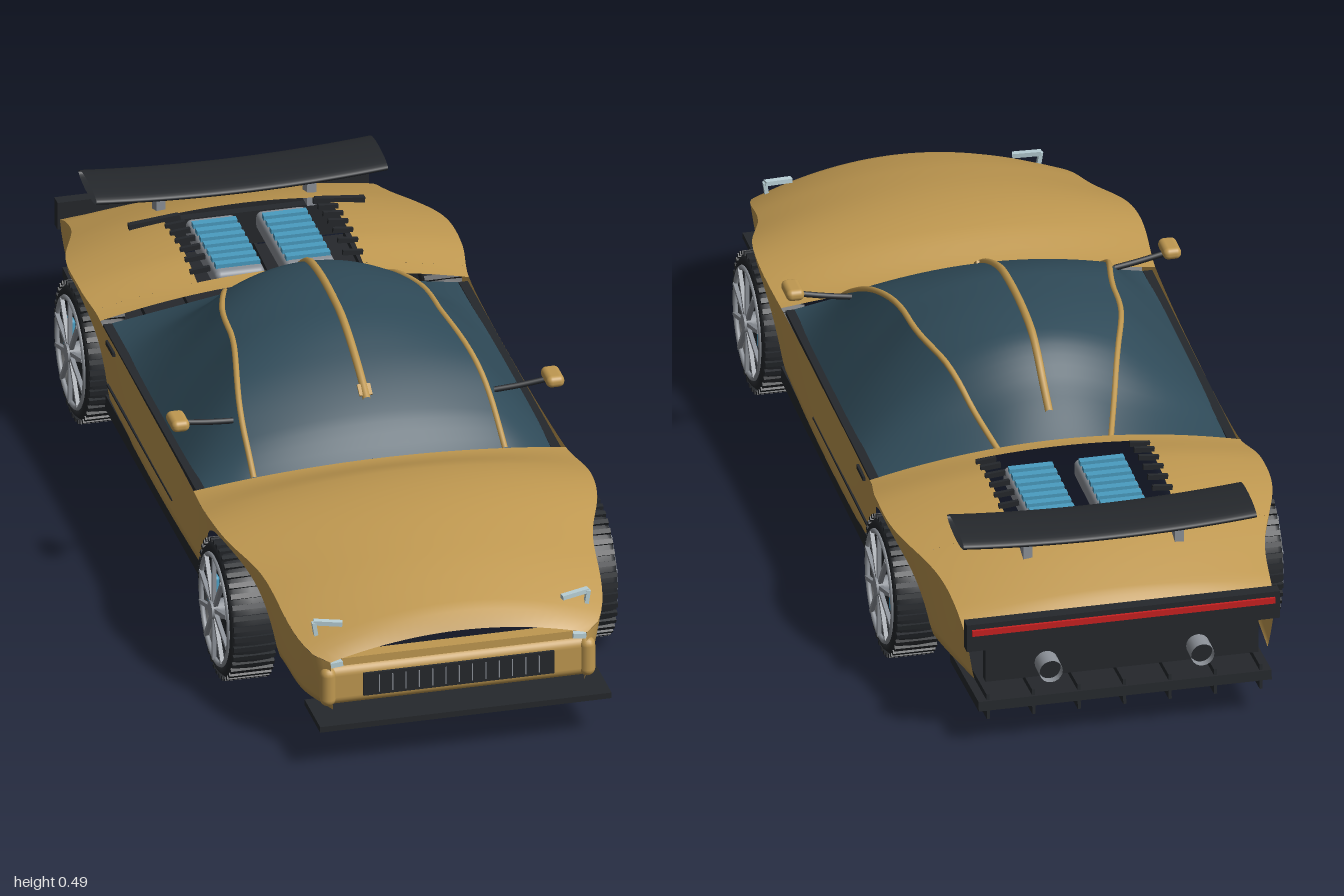
import * as THREE from 'three';
import { ParametricGeometry } from 'three/addons/geometries/ParametricGeometry.js';
import { RoundedBoxGeometry } from 'three/addons/geometries/RoundedBoxGeometry.js';

const mat = (color) => new THREE.MeshStandardMaterial({ color, side: THREE.DoubleSide });
const GOLD = mat(0xbf9850), GLASS = mat(0x2f4a58), BLACK = mat(0x25282c), GREY = mat(0x8d9299);
const BLUE = mat(0x4a9cc0), RED = mat(0xc82020), LAMP = mat(0xb9d0d6);
const R = 0.152, WHEEL_Y = 0.14, WHEEL_Z = 0.555;

// Smooth curve through [z, value] pairs listed from front to back
function profile(p) {
  const slope = (i) => {
    const a = p[Math.max(i - 1, 0)], b = p[Math.min(i + 1, p.length - 1)];
    return (b[1] - a[1]) / (b[0] - a[0]);
  };
  return (z) => {
    let i = 0;
    while (i < p.length - 2 && z < p[i + 1][0]) i++;
    const [z0, v0] = p[i], [z1, v1] = p[i + 1], h = z1 - z0;
    const t = THREE.MathUtils.clamp((z - z0) / h, 0, 1), t2 = t * t, t3 = t2 * t;
    return (2 * t3 - 3 * t2 + 1) * v0 + (t3 - 2 * t2 + t) * h * slope(i)
      + (3 * t2 - 2 * t3) * v1 + (t3 - t2) * h * slope(i + 1);
  };
}
const halfWidth = profile([[0.945, 0.255], [0.92, 0.285], [0.85, 0.31], [0.7, 0.33], [0.58, 0.37], [0.48, 0.38],
  [0.33, 0.37], [0, 0.365], [-0.4, 0.367], [-0.5, 0.38], [-0.63, 0.375], [-0.8, 0.32], [-0.95, 0.305]]);
const lowWidth = profile([[0.945, 0.25], [0.85, 0.285], [0.7, 0.295], [0.4, 0.345], [-0.4, 0.345], [-0.7, 0.315], [-0.95, 0.29]]);
const shoulderY = profile([[0.945, 0.203], [0.88, 0.228], [0.76, 0.268], [0.6, 0.3], [0.5, 0.306], [0.33, 0.284],
  [-0.35, 0.282], [-0.53, 0.306], [-0.72, 0.29], [-0.88, 0.25], [-0.95, 0.22]]);
const crownY = profile([[0.945, 0.24], [0.932, 0.265], [0.88, 0.287], [0.76, 0.322], [0.6, 0.35], [0.465, 0.346],
  [0.335, 0.308], [-0.395, 0.33], [-0.53, 0.35], [-0.72, 0.332], [-0.9, 0.27], [-0.95, 0.235]]);
const bottomY = profile([[0.945, 0.1], [0.5, 0.105], [0.3, 0.11], [-0.7, 0.105], [-0.95, 0.13]]);
const roofY = profile([[0.335, 0.308], [0.26, 0.372], [0.14, 0.438], [0.015, 0.475], [-0.2, 0.465], [-0.31, 0.392], [-0.395, 0.33]]);
const ribY = profile([[0.335, 0.296], [0.26, 0.345], [0.14, 0.408], [0.015, 0.433], [-0.2, 0.42], [-0.31, 0.357], [-0.395, 0.316]]);
const ribX = profile([[0.335, 0.25], [0.2, 0.243], [0.02, 0.21], [-0.1, 0.2], [-0.25, 0.155], [-0.395, 0.11]]);
const topY = (x, z) => shoulderY(z) + (crownY(z) - shoulderY(z)) * (1 - (x / halfWidth(z)) ** 2);
const sideX = (y, z) => {
  const k = THREE.MathUtils.clamp((y - bottomY(z)) / (shoulderY(z) - bottomY(z)), 0, 1);
  return lowWidth(z) + (halfWidth(z) - lowWidth(z)) * k ** 0.8;
};

export function createModel() {
  const car = new THREE.Group();
  car.name = 'sportsCar';
  const add = (name, geo, m, pos = [0, 0, 0], rot = [0, 0, 0], parent = car) => {
    const mesh = new THREE.Mesh(geo, m);
    mesh.name = name;
    mesh.position.set(...pos);
    mesh.rotation.set(...rot);
    parent.add(mesh);
    return mesh;
  };
  const box = (name, size, m, pos, rot, parent) => add(name, new THREE.BoxGeometry(...size), m, pos, rot, parent);
  const patch = (name, fn, nu, nv, m) => add(name, new ParametricGeometry((u, v, t) => t.set(...fn(u, v)), nu, nv), m);
  const tube = (name, pts, r, m) => add(name,
    new THREE.TubeGeometry(new THREE.CatmullRomCurve3(pts.map((p) => new THREE.Vector3(...p))), 32, r, 8), m);
  const lerp = THREE.MathUtils.lerp;

  // Arched top panels; x0 and x1 give the lateral limits at each z
  const topPanel = (name, z0, z1, x0, x1) => patch(name, (u, v) => {
    const z = lerp(z0, z1, v), x = lerp(x0(z), x1(z), u);
    return [x, topY(x, z), z];
  }, 28, 28, GOLD);
  const left = halfWidth, right = (z) => -halfWidth(z);
  topPanel('hood', 0.945, 0.335, left, right);
  topPanel('deckFront', -0.395, -0.43, left, right);
  topPanel('deckRear', -0.72, -0.95, left, right);
  topPanel('deckLeft', -0.43, -0.72, left, () => 0.165);
  topPanel('deckRight', -0.43, -0.72, () => -0.165, right);

  // Side panels with round wheel cut-outs
  for (const s of [1, -1]) {
    const side = (name, zAt, yAt, n) => patch(name, (u, v) => {
      const z = zAt(u), y = lerp(shoulderY(z), yAt(u, z), v);
      return [s * sideX(y, z), y, z];
    }, n, 8, GOLD);
    const plain = (name, z0, z1) => side(name, (u) => lerp(z0, z1, u), (u, z) => bottomY(z), 24);
    plain('frontFender', 0.945, WHEEL_Z + R);
    plain('doorPanel', WHEEL_Z - R, -WHEEL_Z + R);
    plain('rearFender', -WHEEL_Z - R, -0.95);
    for (const c of [WHEEL_Z, -WHEEL_Z]) {
      side('wheelArch', (u) => c + R * Math.cos(Math.PI * u), (u) => WHEEL_Y + R * Math.sin(Math.PI * u), 36);
    }
    box('sill', [0.035, 0.032, 0.85], BLACK, [s * 0.332, 0.094, 0]);
    box('windowLedge', [0.018, 0.008, 0.72], BLACK, [s * 0.354, 0.277, -0.03]);
    box('doorCrease', [0.004, 0.004, 0.5], BLACK, [s * sideX(0.155, 0), 0.155, -0.13]);
    box('doorHandle', [0.006, 0.009, 0.055], BLACK, [s * 0.366, 0.264, -0.32]);
  }

  // Cabin glass: a curved roof between two ribs, and sloping sides
  const cabinZ = (v) => lerp(0.335, -0.395, v);
  patch('roofGlass', (u, v) => {
    const z = cabinZ(v), k = 2 * u - 1;
    return [-k * ribX(z), ribY(z) + (roofY(z) - ribY(z)) * (1 - k * k), z];
  }, 24, 40, GLASS);
  const zs = Array.from({ length: 16 }, (_, i) => cabinZ(i / 15));
  for (const s of [1, -1]) {
    patch('sideGlass', (u, v) => {
      const z = cabinZ(v);
      return [s * lerp(ribX(z), 0.352, u), lerp(ribY(z), 0.277, u), z];
    }, 8, 40, GLASS);
    tube('roofRib', zs.map((z) => [s * ribX(z), ribY(z), z]), 0.006, GOLD);
  }
  const spine = zs.filter((z) => z < 0.25 && z > -0.36);
  tube('roofSpine', spine.map((z) => [0, roofY(z), z]), 0.008, GOLD);
  box('spineTip', [0.026, 0.008, 0.025], GOLD, [0, roofY(0.22), 0.22], [0.6, 0, 0]);

  // Mirrors
  for (const s of [1, -1]) {
    tube('mirrorArm', [[s * 0.26, 0.36, 0.21], [s * 0.31, 0.366, 0.215], [s * 0.365, 0.375, 0.22]], 0.006, BLACK);
    add('mirror', new RoundedBoxGeometry(0.036, 0.024, 0.06, 4, 0.011), GOLD, [s * 0.373, 0.381, 0.225]);
  }

  // Nose: bumper, grille, lamps and splitter
  add('frontBumper', new RoundedBoxGeometry(0.53, 0.085, 0.05, 4, 0.02), GOLD, [0, 0.147, 0.918]);
  box('bumperTop', [0.46, 0.016, 0.03], GOLD, [0, 0.196, 0.92]);
  box('grille', [0.38, 0.048, 0.012], BLACK, [0, 0.148, 0.942]);
  for (let i = 0; i < 13; i++) box('grilleSlat', [0.002, 0.036, 0.004], GREY, [(i - 6) * 0.0265, 0.148, 0.948]);
  box('splitter', [0.58, 0.012, 0.12], BLACK, [0, 0.089, 0.94]);
  for (const s of [1, -1]) {
    add('bumperEnd', new THREE.CapsuleGeometry(0.016, 0.05, 6, 14), GOLD, [s * 0.258, 0.147, 0.935]);
    box('headlight', [0.056, 0.009, 0.012], LAMP, [s * 0.246, 0.26, 0.888], [0, s * 0.2, s * 0.08]);
    box('headlightLeg', [0.008, 0.03, 0.01], LAMP, [s * 0.271, 0.248, 0.885], [0, 0, s * -0.15]);
    box('markerLamp', [0.026, 0.01, 0.012], LAMP, [s * 0.242, 0.194, 0.935], [0, 0, s * -0.1]);
  }

  // Engine banks and vents in the deck opening
  for (const s of [1, -1]) {
    add('engineBank', new RoundedBoxGeometry(0.1, 0.04, 0.24, 3, 0.012), GREY, [s * 0.07, 0.303, -0.582]);
    for (let i = 0; i < 7; i++) {
      box('engineFin', [0.088, 0.012, 0.016], BLUE, [s * 0.07, 0.325, -0.49 - i * 0.029]);
      const z = -0.46 - i * 0.038;
      box('ventSlat', [0.04, 0.01, 0.008], BLACK, [s * 0.152, topY(0.152, z) + 0.003, z], [0, 0, s * -0.1]);
    }
    box('ventBar', [0.1, 0.012, 0.012], BLACK, [s * 0.185, topY(0.185, -0.69) + 0.004, -0.69], [0, 0, s * -0.1]);
  }

  // Rear wing: a hollow, gently bowed blade on two posts
  patch('rearWing', (u, v) => {
    const a = u * Math.PI * 2, k = 2 * v - 1;
    return [k * 0.29, 0.355 + 0.013 * k * k + 0.014 * Math.sin(a), -0.79 + 0.07 * Math.cos(a)];
  }, 32, 20, BLACK);
  for (const s of [1, -1]) box('wingPost', [0.018, 0.07, 0.036], GREY, [s * 0.15, 0.318, -0.785]);

  // Tail: light bar, lower panel, exhausts and finned diffuser
  box('tailPanel', [0.62, 0.058, 0.025], BLACK, [0, 0.23, -0.957]);
  box('tailLight', [0.6, 0.012, 0.012], RED, [0, 0.242, -0.969]);
  box('lowerTailPanel', [0.54, 0.07, 0.02], BLACK, [0, 0.16, -0.947]);
  for (const s of [1, -1]) {
    add('exhaust', new THREE.CylinderGeometry(0.023, 0.023, 0.06, 20, 1, true), GREY, [s * 0.15, 0.155, -0.97], [Math.PI / 2, 0, 0]);
    add('exhaustCore', new THREE.CircleGeometry(0.022, 20), BLACK, [s * 0.15, 0.155, -0.985]);
  }
  box('diffuser', [0.58, 0.02, 0.24], BLACK, [0, 0.08, -0.865], [0.06, 0, 0]);
  for (let i = -3; i <= 3; i++) box('diffuserFin', [0.006, 0.052, 0.23], BLACK, [i * 0.09, 0.076, -0.865], [0.06, 0, 0]);

  // Wheels, built with the outer face toward +x
  const tyreShape = [[0.108, -0.044], [0.125, -0.044], [0.134, -0.034], [0.136, 0], [0.134, 0.034], [0.125, 0.044], [0.108, 0.044], [0.108, -0.044]]
    .map((p) => new THREE.Vector2(...p));
  const axle = [0, 0, -Math.PI / 2];
  for (const s of [1, -1]) for (const z of [WHEEL_Z, -WHEEL_Z]) {
    const w = new THREE.Group();
    w.name = 'wheel';
    w.position.set(s * 0.34, WHEEL_Y, z);
    if (s < 0) w.rotation.y = Math.PI;
    car.add(w);
    add('tyre', new THREE.LatheGeometry(tyreShape, 48), BLACK, [0, 0, 0], axle, w);
    for (let i = 0; i < 40; i++) {
      const a = i / 40 * Math.PI * 2;
      box('treadBlock', [0.084, 0.008, 0.01], BLACK, [0, 0.136 * Math.cos(a), 0.136 * Math.sin(a)], [a, 0, 0], w);
    }
    add('rim', new THREE.TorusGeometry(0.108, 0.005, 8, 48), GREY, [0.044, 0, 0], [0, Math.PI / 2, 0], w);
    add('brakeDisc', new THREE.CylinderGeometry(0.106, 0.106, 0.01, 40), BLACK, [0.015, 0, 0], axle, w);
    add('hub', new THREE.CylinderGeometry(0.018, 0.022, 0.035, 20), GREY, [0.037, 0, 0], axle, w);
    for (let i = 0; i < 10; i++) {
      const a = i / 10 * Math.PI * 2;
      box('spoke', [0.008, 0.096, 0.008], GREY, [0.046, 0.06 * Math.cos(a), 0.06 * Math.sin(a)], [a, 0, 0], w);
    }
    add('caliper', new RoundedBoxGeometry(0.02, 0.066, 0.028, 3, 0.008), BLUE, [0.03, 0.008, -s * 0.066], [0, 0, 0], w);
  }
  return car;
}
